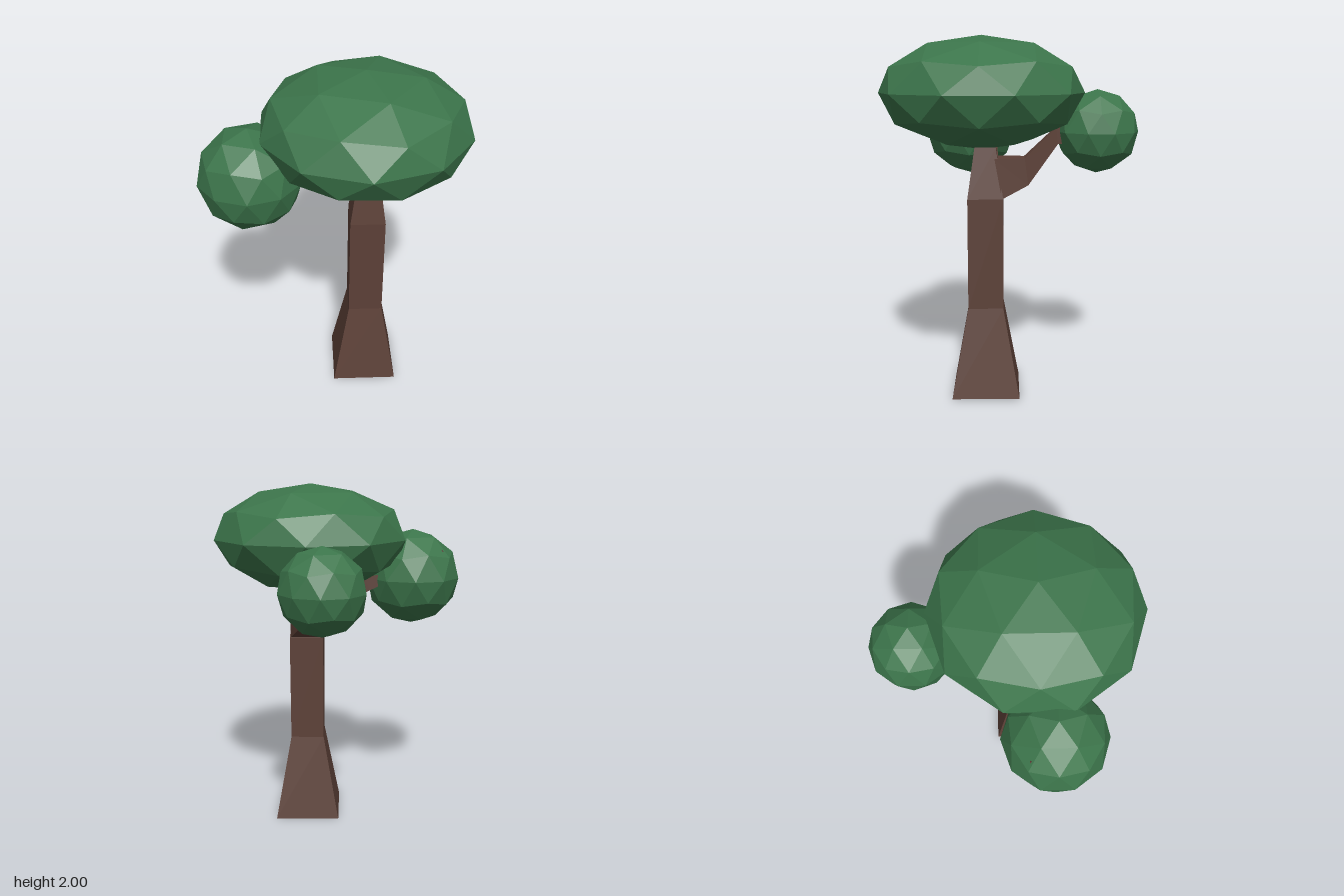
import * as THREE from 'three';

const bark = new THREE.MeshStandardMaterial({ color: 0x5c4037, flatShading: true });
const leaf = new THREE.MeshStandardMaterial({ color: 0x3c754b, flatShading: true });

// Four-sided limb through rings of [centre, half axis u, half axis v]; u x v points along the limb
function limb(name, rings) {
  const corners = rings.map(([c, u, v]) =>
    [[-1, -1], [1, -1], [1, 1], [-1, 1]].map(([s, t]) => c.map((n, k) => n + s * u[k] + t * v[k])));
  const pos = [];
  const quad = (a, b, c, d) => [a, b, c, a, c, d].forEach((p) => pos.push(...p));
  for (let r = 0; r < corners.length - 1; r++) {
    for (let i = 0; i < 4; i++) {
      const j = (i + 1) % 4;
      quad(corners[r][i], corners[r][j], corners[r + 1][j], corners[r + 1][i]);
    }
  }
  quad(...[...corners[0]].reverse());
  quad(...corners[corners.length - 1]);
  const geo = new THREE.BufferGeometry();
  geo.setAttribute('position', new THREE.Float32BufferAttribute(pos, 3));
  geo.computeVertexNormals();
  const mesh = new THREE.Mesh(geo, bark);
  mesh.name = name;
  return mesh;
}

// Faceted foliage ball, one icosahedron corner pointing straight up
function foliage(name, x, y, z, radius, height = radius) {
  const geo = new THREE.IcosahedronGeometry(1, 1);
  geo.rotateX(-Math.atan((1 + Math.sqrt(5)) / 2));
  geo.rotateY(Math.PI / 2);
  geo.scale(radius, height, radius);
  geo.computeVertexNormals();
  const mesh = new THREE.Mesh(geo, leaf);
  mesh.name = name;
  mesh.position.set(x, y, z);
  return mesh;
}

export function createModel() {
  const tree = new THREE.Group();
  tree.name = 'tree';

  // Square trunk: flared foot, straight shaft, tapered neck
  const trunk = [[0, 0.188], [0.5, 0.098], [1.12, 0.098], [1.4, 0.058], [1.5, 0.045]];
  tree.add(limb('trunk', trunk.map(([y, h]) => [[0.187, y, 0.136], [0, 0, h], [h, 0, 0]])));

  // Bent branch growing out of the back of the trunk
  tree.add(limb('backBranch', [
    [[0.187, 1.23, 0.065], [0, 0.11, 0.02], [0.093, 0, 0]],
    [[0.17, 1.265, -0.09], [0, 0.075, 0.01], [0.06, 0, 0]],
    [[0.11, 1.455, -0.262], [0, 0.046, 0.005], [0.035, 0, 0]],
    [[0.1, 1.455, -0.3], [0, 0.045, 0.01], [0.03, 0, 0]],
  ]));

  // Straight branch reaching out to the side
  tree.add(limb('sideBranch', [
    [[0.18, 1.28, 0.125], [0, 0, 0.06], [0.015, 0.06, 0]],
    [[-0.17, 1.425, 0.12], [0, 0, 0.04], [0.012, 0.032, 0]],
    [[-0.61, 1.61, 0.115], [0, 0, 0.012], [0.006, 0.015, 0]],
  ]));

  // Leaves
  tree.add(foliage('crown', 0.16, 1.692, 0.155, 0.566, 0.308));
  tree.add(foliage('sideFoliage', -0.44, 1.455, 0.243, 0.281));
  tree.add(foliage('backFoliage', 0.073, 1.475, -0.49, 0.234));
  return tree;
}
